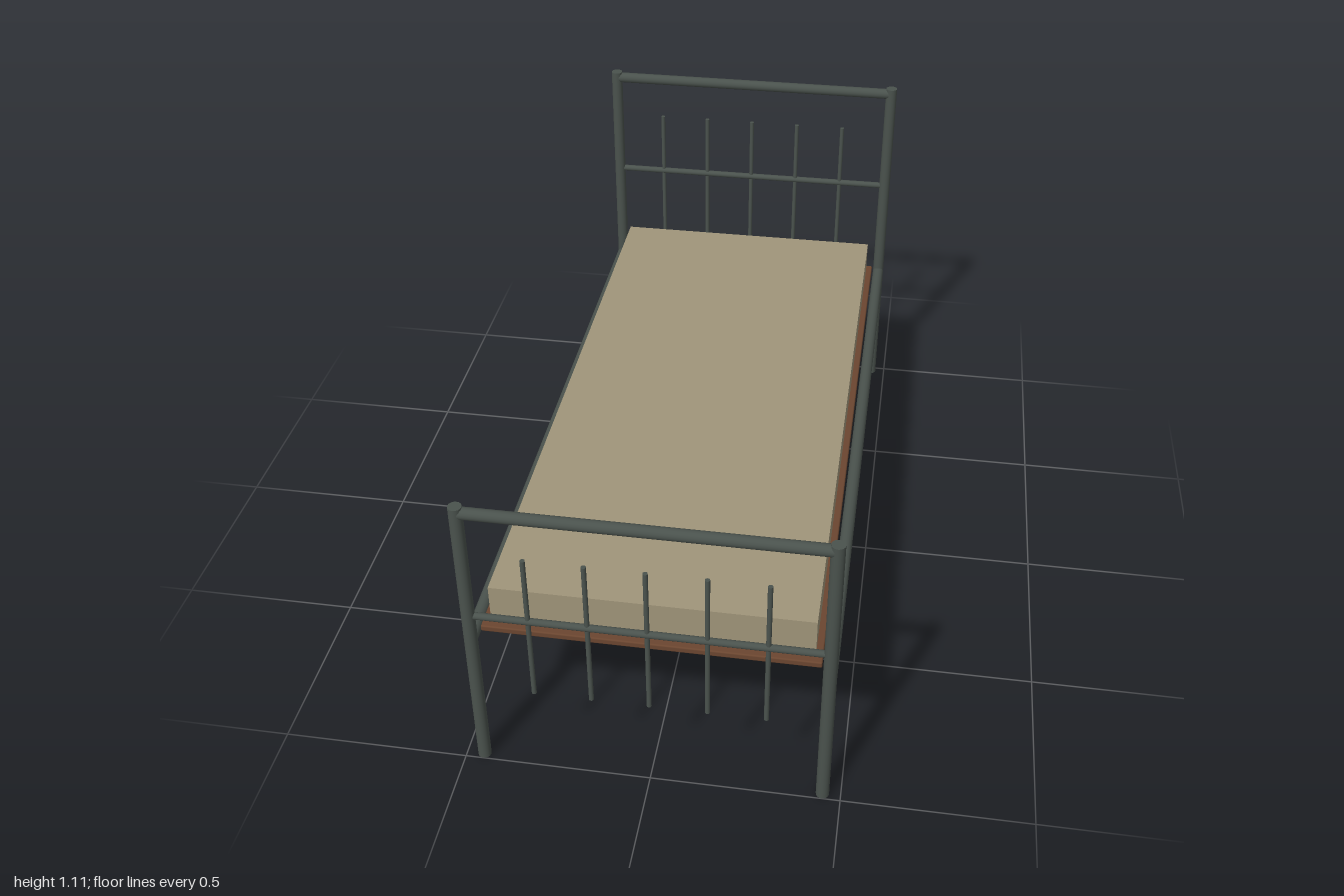
import * as THREE from 'three';
import { RoundedBoxGeometry } from 'three/addons/geometries/RoundedBoxGeometry.js';

const POST_X = 0.4525, END_Z = 0.9825, POST_R = 0.0175;

export function createModel() {
  const bed = new THREE.Group();
  bed.name = 'bed';
  const metal = new THREE.MeshStandardMaterial({ color: 0x4a524d });
  const wood = new THREE.MeshStandardMaterial({ color: 0x6b4630 });
  const fabric = new THREE.MeshStandardMaterial({ color: 0xa0957a });

  const add = (parent, name, geometry, material, x, y, z) => {
    const mesh = new THREE.Mesh(geometry, material);
    mesh.name = name;
    mesh.position.set(x, y, z);
    parent.add(mesh);
    return mesh;
  };
  const rod = (parent, name, radius, length, x, y, z) =>
    add(parent, name, new THREE.CylinderGeometry(radius, radius, length, 16), metal, x, y, z);

  // One end frame: two posts, a thick top rail, a thin middle rail and five spindles
  const endFrame = (name, z, height, midY, spindleTop) => {
    const frame = new THREE.Group();
    frame.name = name;
    frame.position.z = z;
    for (const s of [-1, 1]) {
      rod(frame, s > 0 ? 'leftPost' : 'rightPost', POST_R, height, s * POST_X, height / 2, 0);
    }
    rod(frame, 'topRail', 0.016, 2 * POST_X, 0, height - 0.019, 0).rotation.z = Math.PI / 2;
    rod(frame, 'middleRail', 0.0095, 2 * POST_X, 0, midY, 0).rotation.z = Math.PI / 2;
    const bottom = 0.255;
    for (let i = -2; i <= 2; i++) {
      rod(frame, 'spindle', 0.0065, spindleTop - bottom, i * 0.15, (spindleTop + bottom) / 2, 0);
    }
    bed.add(frame);
  };
  endFrame('headboard', -END_Z, 1.105, 0.755, 0.955);
  endFrame('footboard', END_Z, 0.855, 0.505, 0.705);

  // Side rails joining the two ends
  for (const s of [-1, 1]) {
    rod(bed, s > 0 ? 'leftSideRail' : 'rightSideRail', 0.0175, 2 * END_Z, s * POST_X, 0.425, 0)
      .rotation.x = Math.PI / 2;
  }

  // Wooden base board and mattress
  add(bed, 'baseBoard', new RoundedBoxGeometry(0.862, 0.018, 1.925, 2, 0.004), wood, 0, 0.443, 0);
  add(bed, 'mattress', new THREE.BoxGeometry(0.825, 0.102, 1.86), fabric, 0, 0.503, 0);

  return bed;
}
